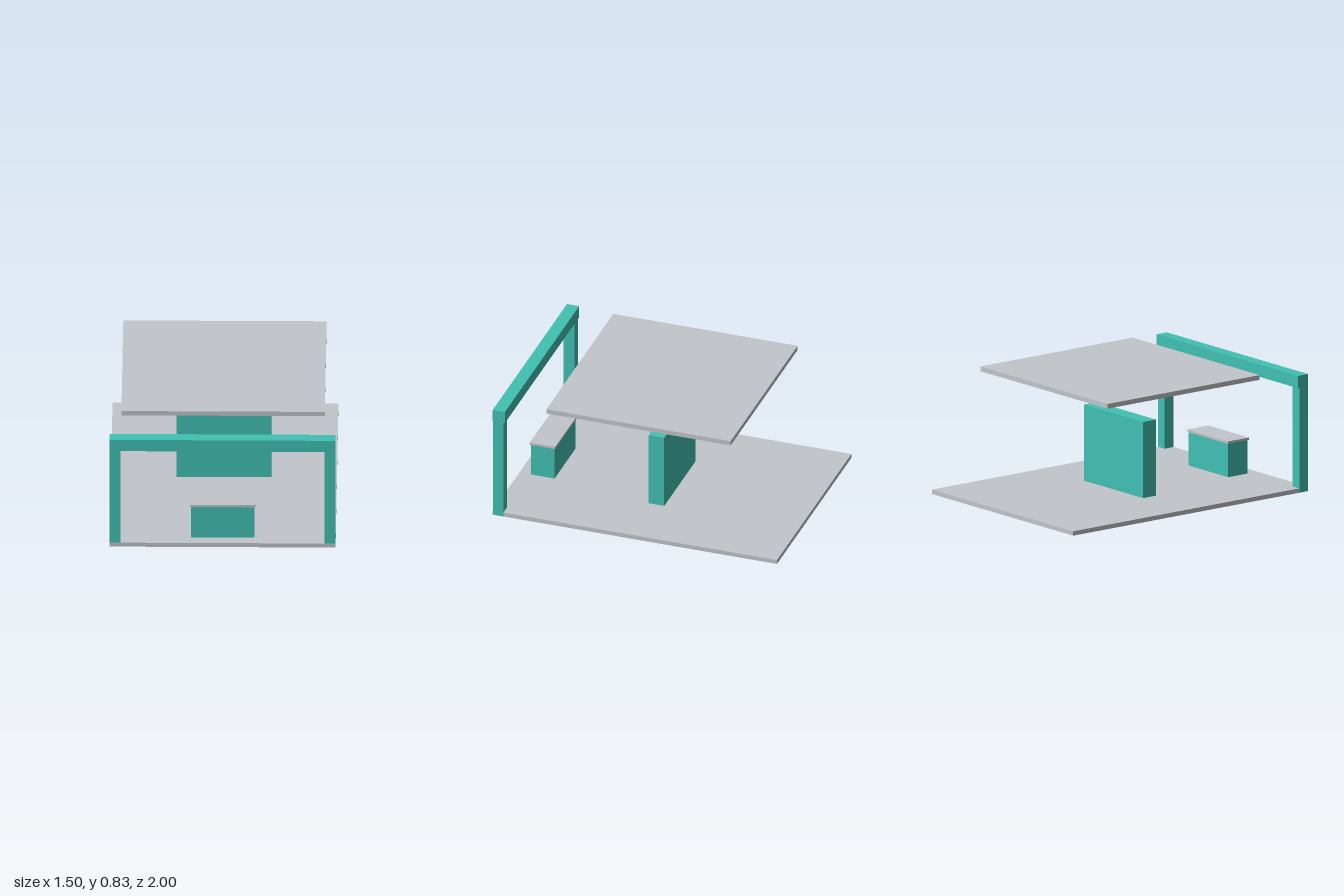
import * as THREE from 'three';

export function createModel() {
  const group = new THREE.Group();
  const teal = new THREE.MeshStandardMaterial({ color: 0x41c1b3 });
  teal.name = 'teal';
  const grey = new THREE.MeshStandardMaterial({ color: 0xc2c5ca });
  grey.name = 'light grey';

  // Box given by its extents along each axis
  function slab(name, material, [x0, x1], [y0, y1], [z0, z1]) {
    const mesh = new THREE.Mesh(new THREE.BoxGeometry(x1 - x0, y1 - y0, z1 - z0), material);
    mesh.position.set((x0 + x1) / 2, (y0 + y1) / 2, (z0 + z1) / 2);
    mesh.name = name;
    group.add(mesh);
  }

  // Floor and floating ceiling panel
  slab('floor', grey, [-0.75, 0.75], [0, 0.03], [-1, 1]);
  slab('ceilingPanel', grey, [-0.675, 0.675], [0.8, 0.832], [-0.648, 0.648]);

  // Free-standing central wall
  slab('centralWall', teal, [-0.314, 0.314], [0.03, 0.55], [-0.055, 0.055]);

  // Entrance gate: two posts and a slightly deeper beam
  slab('leftPost', teal, [0.678, 0.7505], [0.001, 0.716], [0.924, 0.998]);
  slab('rightPost', teal, [-0.7505, -0.678], [0.001, 0.716], [0.924, 0.998]);
  slab('gateBeam', teal, [-0.75, 0.75], [0.716, 0.8], [0.914, 1]);

  // Reception counter with overhanging top
  slab('counterBody', teal, [-0.21, 0.21], [0.03, 0.26], [0.753, 0.919]);
  slab('counterTop', grey, [-0.216, 0.216], [0.26, 0.276], [0.746, 0.925]);

  return group;
}
